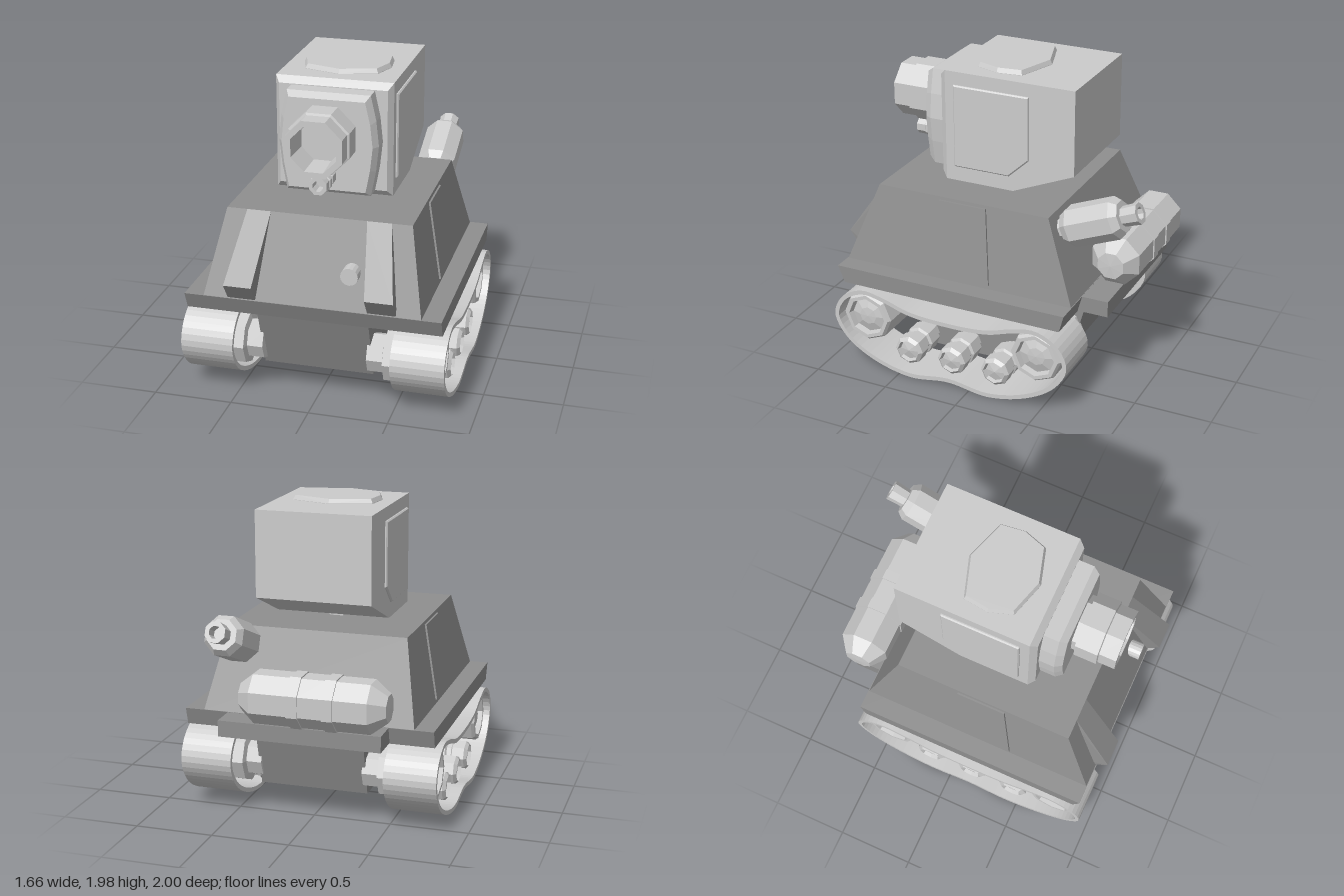
import * as THREE from 'three';
import { ConvexGeometry } from 'three/addons/geometries/ConvexGeometry.js';

const light = new THREE.MeshStandardMaterial({ color: 0xcccccc, flatShading: true });
const dark = new THREE.MeshStandardMaterial({ color: 0x8f8f8f, flatShading: true });
const smooth = new THREE.MeshStandardMaterial({ color: 0xcccccc });

export function createModel() {
  const model = new THREE.Group();
  model.name = 'toyTank';

  const add = (name, geometry, material = light) => {
    const mesh = new THREE.Mesh(geometry, material);
    mesh.name = name;
    model.add(mesh);
    return mesh;
  };
  // Convex solid through a set of corners
  const solid = (name, pts, material) =>
    add(name, new ConvexGeometry(pts.map(p => new THREE.Vector3(...p))), material);
  // Four corners of a level rectangle
  const rect = (y, x, zBack, zFront) =>
    [[-x, y, zBack], [x, y, zBack], [x, y, zFront], [-x, y, zFront]];
  // Turned part; profile is [radius, height along axis]; flat = flat side up
  const turned = (name, profile, flat = true, sides = 8) =>
    add(name, new THREE.LatheGeometry(profile.map(p => new THREE.Vector2(...p)), sides, flat ? Math.PI / sides : 0));
  // Flat [z, y] outline given thickness along x
  const plate = (outline, hole, thickness) => {
    const shape = new THREE.Shape(outline.map(([z, y]) => new THREE.Vector2(-z, y)));
    if (hole) shape.holes.push(new THREE.Path(hole.map(([z, y]) => new THREE.Vector2(-z, y))));
    return new THREE.ExtrudeGeometry(shape, { depth: thickness, bevelEnabled: false })
      .translate(0, 0, -thickness / 2).rotateY(Math.PI / 2);
  };

  // Hull
  solid('upperHull', [...rect(0.685, 0.68, -0.635, 0.925), ...rect(1.2, 0.578, -0.435, 0.73)], dark);
  solid('deckSlab', [...rect(0.575, 0.803, -0.61, 0.885), ...rect(0.685, 0.803, -0.64, 0.93)], dark);
  solid('chassis', [...rect(0.19, 0.35, -0.5, 0.75), ...rect(0.576, 0.35, -0.61, 0.885)], dark);
  solid('rearShelf', [...rect(0.58, 0.52, -0.81, -0.6), ...rect(0.684, 0.52, -0.81, -0.6)], dark);

  const hullX = y => 0.68 - 0.198 * (y - 0.685);
  for (const s of [1, -1]) {
    // Wedge braces on the sloping front
    const brace = [];
    for (const [y, z, a, b] of [[1.2, 0.73, 0.3, 0.45], [0.8, 1, 0.35, 0.525], [0.685, 0.92, 0.35, 0.525], [0.685, 0.85, 0.35, 0.525], [1.2, 0.68, 0.3, 0.45]])
      brace.push([s * a, y, z], [s * b, y, z]);
    solid('frontBrace', brace, dark);

    // Raised panel on the hull side
    const panel = [];
    for (const [z, y] of [[0.3, 1.18], [-0.02, 1.18], [-0.08, 0.71], [0.38, 0.71]])
      for (const d of [-0.02, 0.012]) panel.push([s * (hullX(y) + d), y, z]);
    solid('hullSidePanel', panel, dark);

    // Suspension plate
    const frame = [[0.37, 0.576], [0.52, 0.42], [0.52, 0.18], [0.43, 0.08], [-0.15, 0.08], [-0.23, 0.18], [-0.23, 0.42], [-0.08, 0.576]];
    add('suspensionPlate', plate(frame, null, 0.1), dark).position.x = s * 0.44;

    // Wheels, hollowed on the outer face
    const wheel = (name, y, z, profile) => {
      const w = turned(name, profile, false);
      w.geometry.rotateZ(-s * Math.PI / 2);
      w.position.set(0, y, z);
    };
    for (const z of [0.745, -0.445])
      wheel('largeWheel', 0.345, z, [[0, 0.33], [0.125, 0.33], [0.125, 0.43], [0.17, 0.44], [0.17, 0.77], [0.155, 0.79], [0.13, 0.79], [0.12, 0.75], [0.06, 0.77], [0, 0.775]]);
    for (const z of [0.447, 0.142, -0.164])
      wheel('roadWheel', 0.165, z, [[0, 0.46], [0.07, 0.46], [0.07, 0.53], [0.097, 0.54], [0.097, 0.64], [0.08, 0.65], [0.08, 0.68], [0.097, 0.69], [0.097, 0.77], [0.075, 0.79], [0.065, 0.765], [0, 0.78]]);

    // Track band: smooth closed loop, symmetric about its middle
    const half = [[0, 0.465], [0.27, 0.482], [0.45, 0.535], [0.61, 0.557], [0.76, 0.475], [0.815, 0.34], [0.735, 0.19], [0.55, 0.07], [0.28, 0.004], [0, 0.036]];
    const loop = [...half, ...half.slice(1, -1).reverse().map(([z, y]) => [-z, y])];
    const curve = new THREE.CatmullRomCurve3(loop.map(([z, y]) => new THREE.Vector3(z + 0.14, y, 0)), true);
    const outer = [], inner = [];
    for (let i = 0; i < 96; i++) {
      const p = curve.getPointAt(i / 96), t = curve.getTangentAt(i / 96);
      outer.push([p.x, p.y]);
      inner.push([p.x - t.y * -0.028, p.y - t.x * 0.028]);
    }
    add('track', plate(outer, inner, 0.334), light).position.x = s * 0.663;
  }

  // Headlight
  const lamp = add('headlight', new THREE.CylinderGeometry(0.055, 0.055, 0.09, 16).rotateX(Math.PI / 2));
  lamp.position.set(0.235, 0.905, 0.865);

  // Turret
  const neck = add('turretNeck', new THREE.CylinderGeometry(0.17, 0.17, 0.08, 8, 1, false, Math.PI / 8));
  neck.scale.x = 0.65;
  neck.position.set(0, 1.21, 0.13);
  const body = [];
  for (const x of [-0.37, 0.37])
    for (const [z, y] of [[0.36, 1.95], [-0.51, 1.95], [-0.51, 1.4], [-0.1, 1.228], [0.36, 1.228]]) body.push([x, y, z]);
  for (const x of [-0.34, 0.34]) body.push([x, 1.91, 0.4], [x, 1.27, 0.4]);
  solid('turretBody', body);

  // Gun mask with bowed sides and a bevelled front
  const mask = [];
  for (const s of [1, -1])
    for (const [x, y] of [[0.26, 1.905], [0.295, 1.75], [0.312, 1.59], [0.295, 1.43], [0.265, 1.27]])
      mask.push([s * x, y, 0.38], [s * x, y, 0.5], [s * x * 0.91, 1.59 + (y - 1.59) * 0.9, 0.545]);
  solid('gunMask', mask);

  // Raised turret side panels
  for (const s of [1, -1]) {
    const panel = [];
    for (const [z, y] of [[0.3, 1.865], [-0.21, 1.865], [-0.21, 1.45], [-0.075, 1.325], [0.3, 1.325]])
      panel.push([s * 0.36, y, z], [s * 0.377, y, z], [s * 0.385, 1.6 + (y - 1.6) * 0.97, 0.045 + (z - 0.045) * 0.97]);
    solid('turretSidePanel', panel);
  }

  // Roof hatch
  const hatch = [];
  for (const s of [1, -1])
    for (const [x, z] of [[0, -0.195], [0.26, -0.11], [0.28, 0.05], [0.23, 0.2], [0, 0.268]])
      hatch.push([s * x, 1.94, z], [s * x, 1.952, z], [s * x * 0.95, 1.98, 0.035 + (z - 0.035) * 0.94]);
  solid('roofHatch', hatch);

  // Guns, bored at the muzzle
  const cannon = turned('cannon', [[0.175, 0.53], [0.175, 0.575], [0.203, 0.575], [0.203, 0.72], [0.188, 0.725], [0.188, 0.835], [0.15, 0.835], [0.14, 0.64], [0, 0.64]]);
  cannon.geometry.rotateX(Math.PI / 2);
  cannon.position.y = 1.655;
  const smallGun = turned('smallGun', [[0.062, 0.53], [0.062, 0.61], [0.054, 0.615], [0.054, 0.64], [0.066, 0.645], [0.066, 0.68], [0.058, 0.685], [0.058, 0.745], [0.035, 0.745], [0.035, 0.66], [0, 0.66]]);
  smallGun.geometry.rotateX(Math.PI / 2);
  smallGun.position.y = 1.395;

  // Rear tank with two straps
  const tank = turned('rearTank', [[0, -0.565], [0.09, -0.56], [0.168, -0.46], [0.168, -0.25], [0.177, -0.25], [0.177, -0.18], [0.168, -0.18], [0.168, -0.03], [0.177, -0.03], [0.177, 0.04], [0.168, 0.04], [0.168, 0.28], [0.09, 0.37], [0, 0.375]]);
  tank.geometry.rotateZ(-Math.PI / 2);
  tank.position.set(0, 0.85, -0.76);

  // Tilted exhaust with an open pipe
  const exhaust = turned('exhaust', [[0, -0.1], [0.07, -0.1], [0.07, -0.02], [0.1, -0.02], [0.132, 0.03], [0.132, 0.33], [0.1, 0.375], [0.062, 0.375], [0.068, 0.485], [0.04, 0.485], [0.04, 0.4], [0, 0.4]]);
  exhaust.rotation.x = -Math.atan2(0.335, 0.135);
  exhaust.position.set(0.457, 1.11, -0.525);

  return model;
}
